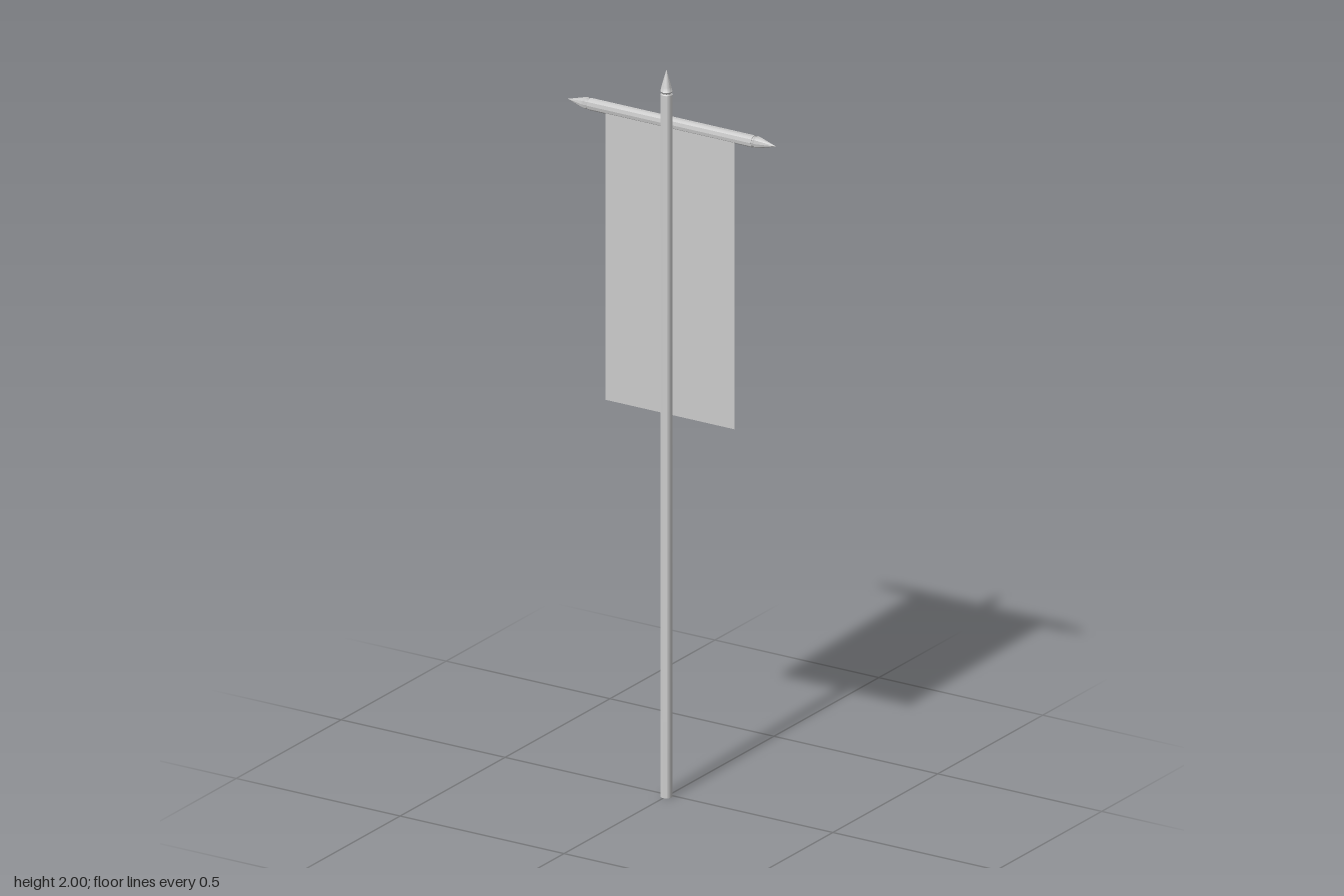
import * as THREE from 'three';
import { toCreasedNormals } from 'three/addons/utils/BufferGeometryUtils.js';

const SIDES = 10;
const RADIUS = 0.016;
const POLE_Z = 0.012;
const BAR_Z = -0.0145;
const BAR_Y = 1.845;

export function createModel() {
  const group = new THREE.Group();
  const grey = new THREE.MeshStandardMaterial({ color: 0xcccccc });
  const clothGrey = new THREE.MeshStandardMaterial({ color: 0xcccccc, side: THREE.DoubleSide });

  const add = (name, geometry, x, y, z, rotZ = 0, material = grey) => {
    const mesh = new THREE.Mesh(geometry, material);
    mesh.name = name;
    mesh.position.set(x, y, z);
    mesh.rotation.z = rotZ;
    group.add(mesh);
  };

  const rod = (length) =>
    toCreasedNormals(new THREE.CylinderGeometry(RADIUS, RADIUS, length, SIDES), 0.8);

  // Pointed finial with a narrow neck, rising along +y from its base
  const finial = toCreasedNormals(new THREE.LatheGeometry([
    [0, 0], [0.0145, 0], [0.0125, 0.003], [RADIUS, 0.009], [0.0135, 0.021], [0, 0.068],
  ].map(([r, y]) => new THREE.Vector2(r, y)), SIDES), 0.7);

  // Upright pole and its tip
  add('pole', rod(1.932), 0, 0.966, POLE_Z);
  add('poleFinial', finial, 0, 1.932, POLE_Z);

  // Crossbar lashed behind the pole, with a tip at each end
  add('crossbar', rod(0.5), 0, BAR_Y, BAR_Z, Math.PI / 2);
  add('leftFinial', finial, 0.25, BAR_Y, BAR_Z, -Math.PI / 2);
  add('rightFinial', finial, -0.25, BAR_Y, BAR_Z, Math.PI / 2);

  // Cloth hanging flat against the back of the pole
  const top = 1.837, bottom = 1.045;
  add('banner', new THREE.PlaneGeometry(0.395, top - bottom), 0, (top + bottom) / 2, -0.005, 0, clothGrey);

  return group;
}
